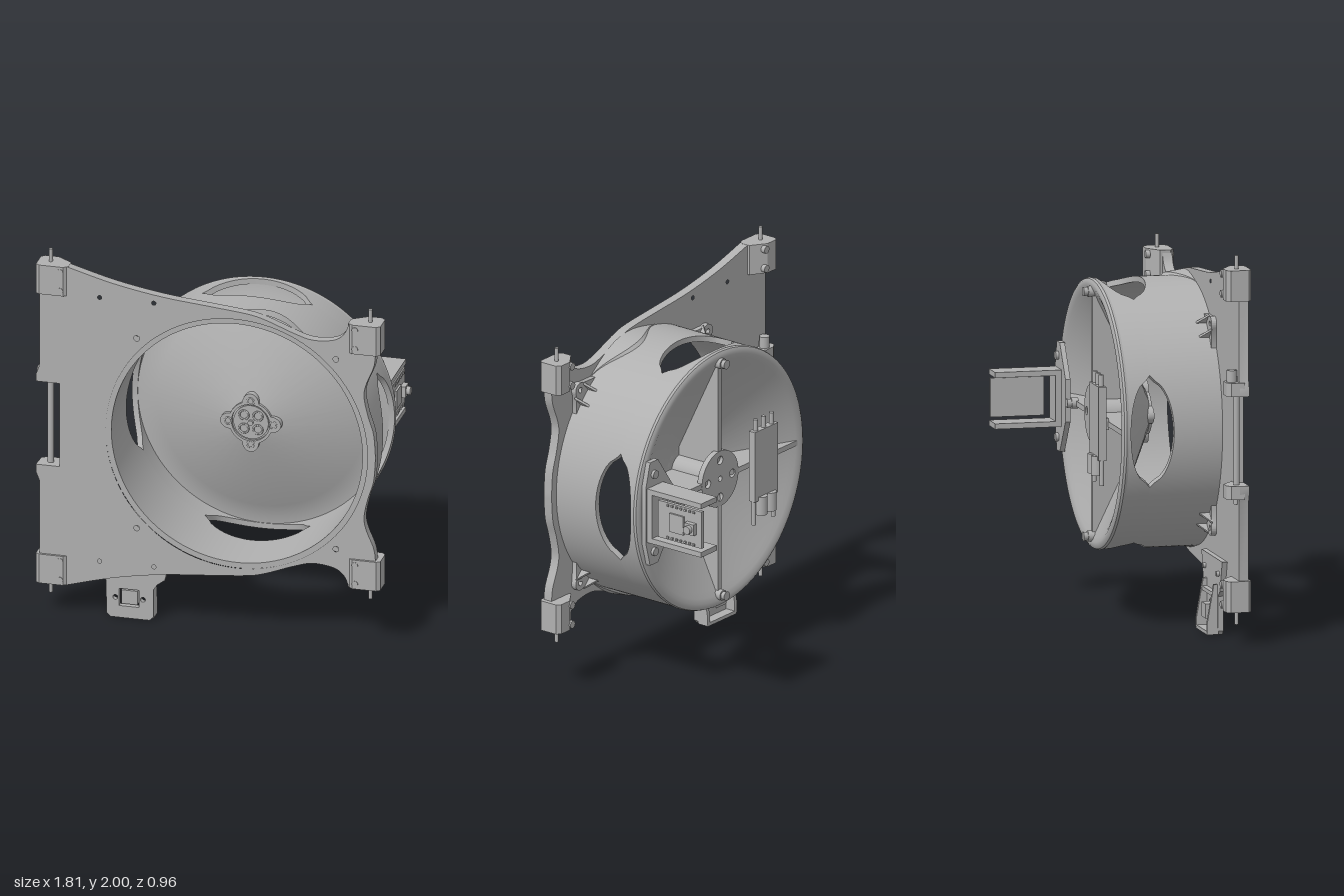
import * as THREE from 'three';
import { toCreasedNormals } from 'three/addons/utils/BufferGeometryUtils.js';

const CX = 0.15, CY = 1.05; // drum axis

export function createModel() {
  const model = new THREE.Group();
  const grey = new THREE.MeshStandardMaterial({ color: 0xb0b0b0 });
  grey.name = 'grey plastic';
  const greyOpen = new THREE.MeshStandardMaterial({ color: 0xb0b0b0, side: THREE.DoubleSide });
  greyOpen.name = 'grey plastic thin';

  const add = (name, geo, x = 0, y = 0, z = 0, mat = grey) => {
    const m = new THREE.Mesh(geo, mat);
    m.name = name;
    m.position.set(x, y, z);
    model.add(m);
    return m;
  };
  // box given by its limits
  const box = (name, x0, x1, y0, y1, z0, z1) =>
    add(name, new THREE.BoxGeometry(x1 - x0, y1 - y0, z1 - z0), (x0 + x1) / 2, (y0 + y1) / 2, (z0 + z1) / 2);
  const cylY = (name, r, x, z, y0, y1) =>
    add(name, new THREE.CylinderGeometry(r, r, y1 - y0, 24), x, (y0 + y1) / 2, z);
  const cylZ = (name, r, x, y, z0, z1, r2 = r) =>
    add(name, new THREE.CylinderGeometry(r, r2, z1 - z0, 28).rotateX(Math.PI / 2), x, y, (z0 + z1) / 2);
  const poly = pts => new THREE.Shape(pts.map(p => new THREE.Vector2(...p)));
  const hole = (s, x, y, r) => s.holes.push(new THREE.Path().absarc(x, y, r, 0, Math.PI * 2, true));
  const slab = (name, shape, z0, z1) => add(name, toCreasedNormals(
    new THREE.ExtrudeGeometry(shape, { depth: z1 - z0, bevelEnabled: false, curveSegments: 48 }), 0.5), 0, 0, z0);
  // outline in x,z raised from y0 to y1
  const prism = (name, pts, y0, y1) => add(name,
    new THREE.ExtrudeGeometry(poly(pts), { depth: y1 - y0, bevelEnabled: false }).rotateX(Math.PI / 2), 0, y1, 0);
  // sweep of a (r, z) cross-section around the drum axis
  const ring = (name, section, closed = true, a0 = 0, a1 = Math.PI * 2, n = 160, mat = grey) => {
    const pos = [], idx = [], k = section(0).length;
    for (let i = 0; i <= n; i++) {
      const a = a0 + (a1 - a0) * i / n;
      for (const [r, z] of section(a)) pos.push(r * Math.cos(a), r * Math.sin(a), z);
    }
    for (let i = 0; i < n; i++) for (let j = 0; j < (closed ? k : k - 1); j++) {
      const a = i * k + j, d = i * k + (j + 1) % k;
      idx.push(a, a + k, d, a + k, d + k, d);
    }
    const g = new THREE.BufferGeometry();
    g.setAttribute('position', new THREE.Float32BufferAttribute(pos, 3));
    g.setIndex(idx);
    return add(name, toCreasedNormals(g, 0.6), CX, CY, 0, mat);
  };

  // --- face plate: upper edge and right edge, mirrored about the drum axis
  const top = new THREE.SplineCurve([[-0.74, 1.93], [-0.5, 1.865], [-0.25, 1.82], [0, 1.795], [0.2, 1.775],
    [0.3, 1.752], [0.45, 1.695], [0.55, 1.668], [0.66, 1.68], [0.715, 1.72], [0.74, 1.78]]
    .map(p => new THREE.Vector2(...p))).getPoints(50).map(p => [p.x, p.y]);
  const right = new THREE.SplineCurve([[0.88, 1.62], [0.87, 1.55], [0.83, 1.45], [0.82, 1.38], [0.84, 1.28],
    [0.87, 1.18], [0.88, 1.05]].map(p => new THREE.Vector2(...p))).getPoints(30).map(p => [p.x, p.y]);
  const half = [[-0.78, 1.05], [-0.78, 1.28], [-0.905, 1.28], [-0.905, 1.32], [-0.885, 1.37], [-0.885, 1.92],
    ...top, [0.88, 1.78], ...right];
  const flip = half.slice(1, -1).reverse().map(([x, y]) => [x, 2 * CY - y]);
  const plate = poly([...half, ...flip]);
  hole(plate, CX, CY, 0.688);
  for (const s of [-1, 1]) {
    for (const x of [-0.57, -0.285]) hole(plate, x, CY + s * 0.73, 0.011);
    for (const x of [-0.375, 0.672]) hole(plate, x, CY + s * 0.525, 0.015);
  }
  slab('facePlate', plate, 0.412, 0.462);

  // --- drum wall with four oval windows
  const windowHalf = a => {
    const q = Math.PI / 2, d = a - Math.round(a / q) * q;
    return 0.113 * Math.sqrt(Math.max(0, 1 - (d / 0.4) ** 2));
  };
  ring('drumFrontWall', a => {
    const z = 0.046 + windowHalf(a);
    return [[0.69, z], [0.69, 0.455], [0.66, 0.455], [0.66, z]];
  });
  ring('drumRearWall', a => {
    const z = 0.046 - windowHalf(a);
    return [[0.69, z], [0.66, z], [0.66, -0.08], [0.675, -0.1], [0.69, -0.09]];
  });
  // --- rounded back rim running into the inward cone
  ring('rearCone', () => [[0.69, -0.075], [0.66, -0.07], [0.62, -0.065], [0.55, -0.038], [0.12, 0.17], [0, 0.17],
    [0, 0.15], [0.12, 0.15], [0.55, -0.058], [0.6, -0.082], [0.63, -0.098], [0.655, -0.108], [0.675, -0.108],
    [0.688, -0.1], [0.693, -0.088]]);
  // --- sloped gussets between drum and plate edge
  for (const s of [1, -1]) ring('plateGusset', a => {
    const h = 0.115 * Math.cos((a - s * 1.34) / 0.44 * Math.PI / 2) ** 2;
    return [[0.688, 0.412 - h], [0.692 + h * 0.12, 0.412 - h * 0.85], [0.692 + h * 0.25, 0.413]];
  }, false, s * 1.34 - 0.44, s * 1.34 + 0.44, 40, greyOpen);

  // --- diagonal screw lugs on the drum
  for (const sx of [-1, 1]) for (const sy of [-1, 1]) {
    const a = Math.atan2(sy, sx), lug = new THREE.Shape();
    lug.moveTo(0.67, -0.12).lineTo(0.75, -0.04).absarc(0.742, 0, 0.04, -1.3, 1.3, false).lineTo(0.67, 0.12);
    hole(lug, 0.742, 0, 0.015);
    const m = slab('drumLug', lug, 0.385, 0.414);
    m.position.set(CX, CY, 0.385);
    m.rotation.z = a;
    for (const t of [-1, 1]) {
      const rib = slab('lugRib', poly([[0.675, 0.41], [0.75, 0.39], [0.675, 0.32]]), 0, 0.012);
      rib.geometry.rotateX(Math.PI / 2);
      rib.position.set(CX - Math.sin(a) * t * 0.045, CY + Math.cos(a) * t * 0.045, 0);
      rib.rotation.z = a;
    }
  }

  // --- motor mount at the cone tip: clover with screw bosses
  const clover = new THREE.Shape();
  for (let i = 0; i <= 96; i++) {
    const a = i / 96 * Math.PI * 2, r = 0.115 + 0.045 * Math.max(0, Math.cos(4 * a)) ** 0.8;
    clover[i ? 'lineTo' : 'moveTo'](CX + r * Math.cos(a), CY + r * Math.sin(a));
  }
  hole(clover, CX, CY, 0.1);
  slab('motorClover', clover, 0.15, 0.186);
  cylZ('motorFace', 0.092, CX, CY, 0.16, 0.178);
  cylZ('motorShaft', 0.014, CX, CY, 0.17, 0.192);
  for (let i = 0; i < 4; i++) {
    const a = i * Math.PI / 2, b = a + Math.PI / 4;
    const ringAt = (name, d, t, r) => add(name, new THREE.TorusGeometry(r, 0.005, 8, 24),
      CX + d * Math.cos(t), CY + d * Math.sin(t), 0.183 - (d < 0.1 ? 0.005 : 0));
    ringAt('mountScrew', 0.118, a, 0.018);
    ringAt('motorVent', 0.052, b, 0.024);
  }

  // --- rear hub, four tapered fins and rim screws
  const hub = new THREE.Shape().absarc(CX, CY, 0.15, 0, Math.PI * 2, false);
  for (let i = 0; i < 4; i++) hole(hub, CX + 0.1 * Math.cos(i * Math.PI / 2), CY + 0.1 * Math.sin(i * Math.PI / 2), 0.022);
  hole(hub, CX, CY, 0.015);
  slab('hubDisc', hub, -0.105, -0.075);
  cylZ('hubBarrel', 0.075, CX, CY, -0.08, 0.155);
  for (let i = 0; i < 4; i++) {
    const fin = slab('rearFin', poly([[0.14, -0.103], [0.64, -0.103], [0.55, -0.05], [0.12, 0.155], [0.06, 0.155], [0.06, -0.08]]), 0, 0.028);
    fin.geometry.rotateX(Math.PI / 2).translate(0, 0.014, 0);
    fin.position.set(CX, CY, 0);
    fin.rotation.z = i * Math.PI / 2;
  }
  for (const [x, y] of [[CX, CY + 0.63], [CX, CY - 0.63], [0.5, CY]]) {
    cylZ('rimBoss', 0.028, x, y, -0.125, -0.09);
    cylZ('rimScrew', 0.02, x, y, -0.148, -0.12, 0.024);
  }

  // --- corner clamps with pins
  const clamp = s => [[0.885, 0.345], [0.815, 0.345], [0.735, 0.4], [0.735, 0.455], [0.76, 0.475], [0.885, 0.475],
    [0.905, 0.46], [0.905, 0.365]].map(([x, z]) => [s * x, z]);
  for (const s of [-1, 1]) for (const m of [-1, 1]) {
    const c = CY + m * (s < 0 ? 0.80 : 0.65), yTip = CY + m * (s < 0 ? 0.95 : 0.8);
    prism('cornerClamp', clamp(s), c - 0.08, c + 0.08);
    cylY('cornerPin', 0.01, s * 0.84, 0.41, Math.min(c, yTip), Math.max(c, yTip));
    for (const d of [-0.052, 0.052]) {
      cylZ('clampScrew', 0.016, s * 0.775, c + d, 0.45, 0.478);
      cylZ('clampNut', 0.02, s * 0.8, c + d, 0.337, 0.36);
    }
  }
  // --- hinge rod with its two lugs
  cylY('hingeRod', 0.016, -0.84, 0.41, 0.72, 1.38);
  for (const m of [-1, 1]) {
    const c = CY + m * 0.265;
    prism('hingeLug', [[-0.905, 0.44], [-0.9, 0.37], [-0.87, 0.35], [-0.81, 0.35], [-0.73, 0.412], [-0.74, 0.44]], c - 0.035, c + 0.035);
  }
  cylY('hingeCollar', 0.026, -0.84, 0.385, 1.34, 1.41);

  // --- lower sensor pod
  const pod = poly([[-0.545, 0.02], [-0.525, 0], [-0.32, 0], [-0.3, 0.02], [-0.3, 0.17], [-0.28, 0.2], [-0.24, 0.23],
    [-0.2, 0.39], [-0.64, 0.39], [-0.59, 0.23], [-0.55, 0.2]]);
  pod.holes.push(new THREE.Path([[-0.48, 0.065], [-0.48, 0.16], [-0.375, 0.16], [-0.375, 0.065]].map(p => new THREE.Vector2(...p))));
  for (const x of [-0.5, -0.355]) hole(pod, x, 0.11, 0.013);
  slab('podPlate', pod, 0.385, 0.415);
  for (const x of [-0.545, -0.32]) {
    const wall = slab('podSide', poly([[0.01, 0.39], [0.01, 0.33], [0.06, 0.33], [0.26, 0.365], [0.26, 0.39]]), 0, 0.02);
    wall.geometry.applyMatrix4(new THREE.Matrix4().set(0, 0, 1, 0, 1, 0, 0, 0, 0, 1, 0, 0, 0, 0, 0, 1));
    wall.position.set(x, 0, 0);
  }
  box('podFloor', -0.54, -0.305, 0.002, 0.02, 0.33, 0.39);
  box('podShelf', -0.54, -0.305, 0.2, 0.22, 0.358, 0.39);
  box('podSensor', -0.47, -0.385, 0.075, 0.15, 0.34, 0.408);
  for (const x of [-0.57, -0.285]) cylZ('podScrew', 0.014, x, 0.32, 0.37, 0.39);

  // --- side bracket with upright circuit board
  const foot = poly([[0.58, 0.94], [0.58, 1.16], [0.7, 1.33], [0.765, 1.33], [0.8, 1.2], [0.8, 0.9], [0.765, 0.77], [0.7, 0.77]]);
  slab('bracketFoot', foot, -0.134, -0.108);
  box('bracketBase', 0.66, 0.79, 0.91, 1.195, -0.165, -0.13);
  for (const m of [-1, 1]) {
    const c = CY + m * 0.132;
    box('bracketArm', 0.66, 0.79, c - 0.014, c + 0.014, -0.482, -0.13);
    cylZ('bracketScrew', 0.022, 0.735, CY + m * 0.21, -0.15, -0.13);
  }
  box('sensorBoard', 0.765, 0.785, 0.95, 1.15, -0.48, -0.2);
  box('sensorChip', 0.78, 0.795, 1.0, 1.1, -0.37, -0.28);
  box('sensorMount', 0.78, 0.812, 1.02, 1.08, -0.45, -0.39);
  const lens = cylY('sensorLens', 0.022, 0, 0, 0, 0.03);
  lens.rotation.z = Math.PI / 2;
  lens.position.set(0.818, 1.05, -0.42);
  for (const y of [0.963, 1.137]) for (let i = 0; i < 7; i++)
    box('boardPin', 0.78, 0.793, y - 0.005, y + 0.005, -0.44 + i * 0.028, -0.428 + i * 0.028);

  // --- motor controller behind the drum
  box('controller', -0.25, -0.06, 0.87, 1.25, -0.165, -0.125);
  for (const x of [-0.195, -0.12]) {
    cylY('capacitor', 0.032, x, -0.158, 0.79, 0.89);
  }
  for (const x of [-0.235, -0.075]) cylY('powerLead', 0.012, x, -0.145, 0.74, 0.88);
  for (const x of [-0.22, -0.155, -0.09]) cylY('motorLead', 0.013, x, -0.145, 1.24, 1.31);
  box('controllerStandoff', -0.2, -0.11, 1.02, 1.08, -0.128, -0.1);
  return model;
}
